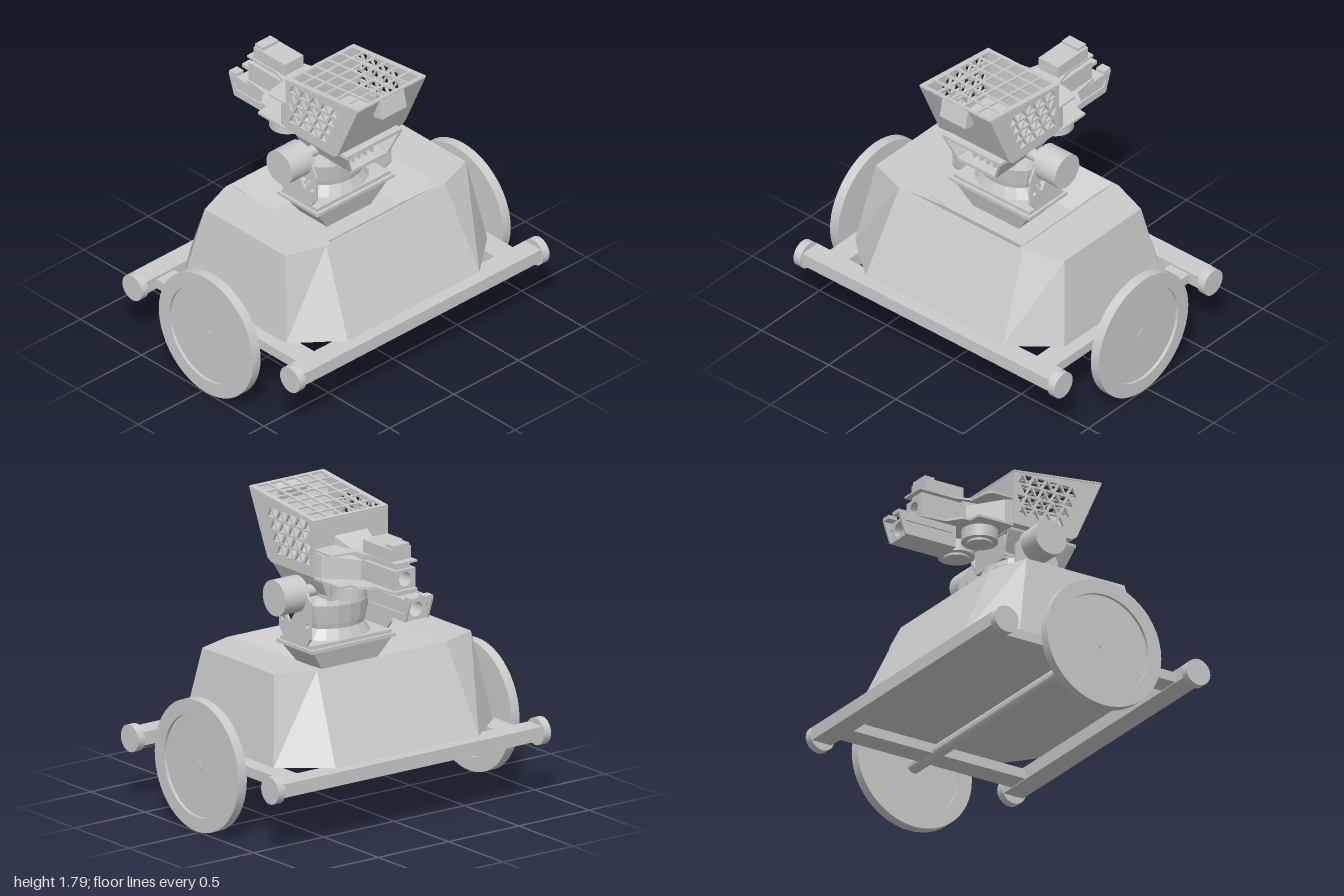
import * as THREE from 'three';
import { toCreasedNormals } from 'three/addons/utils/BufferGeometryUtils.js';

const mat = new THREE.MeshStandardMaterial({ color: 0xcccccc, side: THREE.DoubleSide });
const flat = new THREE.MeshStandardMaterial({ color: 0xcccccc, side: THREE.DoubleSide, flatShading: true });

export function createModel() {
  const model = new THREE.Group();

  const add = (name, geo, x = 0, y = 0, z = 0, m = mat) => {
    const mesh = new THREE.Mesh(geo, m);
    mesh.name = name;
    mesh.position.set(x, y, z);
    model.add(mesh);
    return mesh;
  };
  // Box given by its limits on each axis
  const box = (name, [x0, x1], [y0, y1], [z0, z1]) =>
    add(name, new THREE.BoxGeometry(x1 - x0, y1 - y0, z1 - z0), (x0 + x1) / 2, (y0 + y1) / 2, (z0 + z1) / 2);
  const shapeOf = (pts, holes = []) => {
    const s = new THREE.Shape(pts.map(p => new THREE.Vector2(...p)));
    s.holes = holes;
    return s;
  };
  const pathOf = pts => new THREE.Path(pts.map(p => new THREE.Vector2(...p)));
  const extrude = (shape, depth) =>
    new THREE.ExtrudeGeometry(shape, { depth, bevelEnabled: false, curveSegments: 10 });
  // Side outline of [z, y] points, extruded along x and centred
  const profile = (pts, width, holes) =>
    extrude(shapeOf(pts, holes), width).rotateY(-Math.PI / 2).translate(width / 2, 0, 0);
  // Plan outline of [x, z] points, with the top face at y = 0
  const plan = (pts, depth, holes) => extrude(shapeOf(pts, holes), depth).rotateX(Math.PI / 2);
  // Cylinder along x
  const rod = (name, r, x0, x1, y, z, seg = 32) =>
    add(name, toCreasedNormals(new THREE.CylinderGeometry(r, r, x1 - x0, seg).rotateZ(Math.PI / 2), 0.6), (x0 + x1) / 2, y, z);
  // Skin over rings of equal length, capped at both ends
  const loft = rings => {
    const n = rings[0].length, idx = [];
    for (let i = 0; i < rings.length - 1; i++)
      for (let j = 0; j < n; j++) {
        const a = i * n + j, b = i * n + (j + 1) % n;
        idx.push(a, b, b + n, a, b + n, a + n);
      }
    const t = (rings.length - 1) * n;
    for (let j = 1; j < n - 1; j++) idx.push(0, j + 1, j, t, t + j, t + j + 1);
    const g = new THREE.BufferGeometry();
    g.setAttribute('position', new THREE.Float32BufferAttribute(rings.flat(2), 3));
    g.setIndex(idx);
    g.computeVertexNormals();
    return g;
  };
  const octagon = (y, xEnd, xSide, zFront, zSideF, zSideB, zBack) => [
    [xEnd, y, zFront], [xSide, y, zSideF], [xSide, y, zSideB], [xEnd, y, zBack],
    [-xEnd, y, zBack], [-xSide, y, zSideB], [-xSide, y, zSideF], [-xEnd, y, zFront]];
  const rect = (y, x, z0, z1) => [[x, y, z1], [x, y, z0], [-x, y, z0], [-x, y, z1]];

  // Faceted hull with a sunken well on top
  add('hull', loft([
    octagon(0.44, 0.51, 0.78, 0.67, 0.45, -0.40, -0.62),
    octagon(0.95, 0.46, 0.70, 0.44, 0.36, -0.30, -0.385),
    octagon(0.95, 0.42, 0.43, 0.43, 0.36, -0.30, -0.38),
    octagon(0.80, 0.28, 0.29, 0.25, 0.24, -0.18, -0.19)]), 0, 0, 0, flat);

  // Chassis frame and axle
  box('frontRail', [-0.93, 0.93], [0.355, 0.435], [0.61, 0.74]);
  box('rearRail', [-0.93, 0.93], [0.355, 0.435], [-0.68, -0.55]);
  for (const s of [-1, 1])
    box('sideRail', [s * 0.77 - 0.07, s * 0.77 + 0.07], [0.36, 0.42], [-0.56, 0.62]);
  rod('axle', 0.04, -0.95, 0.95, 0.38, 0.025);

  // Wheels with a recessed face, and small rollers on the rail ends
  const wheelProfile = [[0, -0.012], [0.3, -0.012], [0.3, -0.03], [0.385, -0.03],
    [0.385, 0.03], [0.3, 0.03], [0.3, 0.012], [0, 0.012]].map(p => new THREE.Vector2(...p));
  const wheelGeo = toCreasedNormals(new THREE.LatheGeometry(wheelProfile, 56).rotateZ(Math.PI / 2), 0.6);
  for (const s of [-1, 1]) {
    add('wheel', wheelGeo, s * 0.97, 0.39, 0.025);
    rod('wheelHub', 0.03, s * 0.97 - 0.016, s * 0.97 + 0.016, 0.39, 0.025);
    for (const z of [0.68, -0.61]) rod('roller', 0.08, s * 0.945 - 0.025, s * 0.945 + 0.025, 0.39, z);
  }

  // Pedestal under the turret
  add('pedestal', loft([rect(0.80, 0.17, -0.08, 0.14), rect(0.95, 0.28, -0.12, 0.18)]), 0, 0, 0, flat);
  box('turretBase', [-0.30, 0.30], [0.95, 0.97], [-0.13, 0.20]);
  box('turretPlate', [-0.285, 0.285], [0.97, 0.99], [-0.11, 0.18]);

  // Turret bowl
  const bowlProfile = [[0, 0.99], [0.22, 0.99], [0.18, 1.05], [0.19, 1.08], [0.215, 1.19], [0.2, 1.23], [0, 1.23]];
  add('turretBowl', new THREE.LatheGeometry(bowlProfile.map(p => new THREE.Vector2(...p)), 16)
    .scale(1, 1, 0.65), 0, 0, 0.035, flat);

  // Yoke plates with a window and bolt holes, carrying the tilt motors
  const round = (z, y, r) => new THREE.Path().absarc(z, y, r, 0, Math.PI * 2);
  const yoke = profile([[-0.07, 0.985], [0.13, 0.985], [0.18, 1.05], [0.18, 1.2], [0.13, 1.3], [-0.06, 1.3],
    [-0.105, 1.25], [-0.105, 1.03]], 0.015,
    [round(0.145, 1.105, 0.014), round(-0.08, 1.105, 0.014), pathOf([[0.14, 1.165], [0.03, 1.165], [0.085, 1.09]])]);
  for (const s of [-1, 1]) {
    add('yokePlate', yoke, s * 0.285, 0, 0);
    rod('tiltMotor', 0.105, s * 0.355 - 0.085, s * 0.355 + 0.085, 1.27, 0.035, 28);
    rod('tiltShaft', 0.035, s * 0.225 - 0.075, s * 0.225 + 0.075, 1.27, 0.035, 16);
  }

  // Open cradle beneath the hopper: leaning cheeks, floor and ribs
  const cheek = profile([[0.31, 1.23], [0.35, 1.38], [-0.10, 1.38], [-0.09, 1.25]], 0.015).translate(0, -1.38, 0);
  for (const s of [-1, 1]) add('cradleCheek', cheek, s * 0.21, 1.38, 0).rotation.z = -s * 0.45;
  box('cradleFloor', [-0.14, 0.14], [1.225, 1.245], [-0.09, 0.31]);
  box('cradleTop', [-0.215, 0.215], [1.37, 1.39], [-0.10, 0.35]);
  box('cradleBack', [-0.15, 0.15], [1.24, 1.38], [-0.09, -0.07]);
  for (const x of [-0.07, -0.02, 0.03, 0.08]) box('cradleRib', [x - 0.008, x + 0.008], [1.24, 1.38], [-0.08, 0.25]);

  // Hopper sides, pierced by rows of alternating triangles
  const holes = [];
  [[0.295, 9], [0.27, 8], [0.245, 8], [0.21, 7]].forEach(([z0, count], row) => {
    for (let i = 0; i < count; i++) {
      const z = z0 - i * 0.042, y = 1.682 - row * 0.067, d = i % 2 ? -0.027 : 0.027;
      holes.push(pathOf([[z - 0.028, y - d], [z + 0.028, y - d], [z, y + d]]));
    }
  });
  const side = profile([[-0.10, 1.39], [0.29, 1.39], [0.325, 1.41], [0.49, 1.78], [-0.10, 1.71]], 0.015, holes);
  for (const s of [-1, 1]) add('hopperSide', side, s * 0.257, 0, 0);
  add('hopperFront', profile([[0.29, 1.39], [0.325, 1.41], [0.49, 1.78], [0.475, 1.78], [0.315, 1.42], [0.285, 1.40]], 0.51));
  box('hopperBack', [-0.26, 0.26], [1.39, 1.71], [-0.10, -0.085]);
  box('hopperFloor', [-0.255, 0.255], [1.39, 1.405], [-0.10, 0.30]);
  add('frontLatch', profile([[0.488, 1.785], [0.514, 1.668], [0.446, 1.652], [0.42, 1.74]], 0.19));

  // Sloping grate over the hopper
  const cells = [];
  for (let i = 0; i < 5; i++)
    for (let j = 0; j < 6; j++) {
      const x = (i - 2) * 0.096, z = (j - 2.5) * 0.094;
      cells.push(pathOf([[x - 0.04, z - 0.04], [x + 0.04, z - 0.04], [x + 0.04, z + 0.04], [x - 0.04, z + 0.04]]));
    }
  add('hopperGrate', plan([[-0.265, -0.298], [0.265, -0.298], [0.265, 0.298], [-0.265, 0.298]], 0.01, cells),
    0, 1.757, 0.195).rotation.x = -0.118;

  // Launcher: throat tapering back from the hopper
  const section = (z, x, y0, y1) => [[-x, y0, z], [-x, y1, z], [x, y1, z], [x, y0, z]];
  add('throat', loft([section(-0.10, 0.255, 1.395, 1.54), section(-0.15, 0.25, 1.395, 1.53),
    section(-0.31, 0.09, 1.395, 1.51)]), 0, 0, 0, flat);
  add('throatCowl', loft([section(-0.10, 0.12, 1.53, 1.61), section(-0.21, 0.09, 1.52, 1.56),
    section(-0.32, 0.075, 1.51, 1.55)]), 0, 0, 0, flat);
  const mirrored = half => [...half, ...half.map(([x, z]) => [-x, z]).reverse()];
  add('launcherDeck', plan(mirrored([[0.26, -0.10], [0.26, -0.33], [0.185, -0.34], [0.18, -0.39],
    [0.10, -0.45], [0.08, -0.61]]), 0.015), 0, 1.39, 0);
  add('upperDeck', plan(mirrored([[0.26, -0.10], [0.26, -0.24], [0.235, -0.26], [0.11, -0.28],
    [0.08, -0.38], [0.08, -0.61]]), 0.012), 0, 1.556, 0);

  // Square tube with a round bore, open along z
  const tube = (name, w, y0, y1, z0, z1, r) => {
    const h = (y1 - y0) / 2;
    add(name, extrude(shapeOf([[-w, -h], [w, -h], [w, h], [-w, h]], [round(0, 0, r)]), z1 - z0), 0, y0 + h, z0);
  };
  tube('upperBarrel', 0.075, 1.395, 1.51, -0.60, -0.31, 0.042);
  box('barrelSpacer', [-0.05, 0.05], [1.51, 1.545], [-0.58, -0.32]);
  box('topMotor', [-0.07, 0.075], [1.556, 1.63], [-0.565, -0.31]);
  box('topMotorCap', [-0.06, 0.06], [1.63, 1.648], [-0.565, -0.50]);

  // Lower barrel with a slanted muzzle and recessed side panels
  tube('lowerBarrel', 0.075, 1.24, 1.365, -0.70, -0.37, 0.045);
  for (const s of [-1, 1]) {
    add('muzzleCheek', profile([[-0.37, 1.24], [-0.37, 1.37], [-0.755, 1.37], [-0.71, 1.24]], 0.012,
      [pathOf([[-0.395, 1.285], [-0.395, 1.325], [-0.71, 1.325], [-0.695, 1.285]])]), s * 0.078, 0, 0);
    box('muzzleLip', [s * 0.05 - 0.03, s * 0.05 + 0.03], [1.362, 1.385], [-0.755, -0.70]);
  }
  box('lowerBarrelMount', [-0.06, 0.06], [1.36, 1.378], [-0.61, -0.37]);

  // Twin flywheels below the deck
  const disc = (r, h) => toCreasedNormals(new THREE.CylinderGeometry(r, r, h, 28), 0.6);
  for (const s of [-1, 1]) {
    add('flywheel', disc(0.105, 0.07), s * 0.12, 1.325, -0.235);
    add('flywheelHub', disc(0.072, 0.1), s * 0.12, 1.327, -0.235);
  }
  return model;
}
